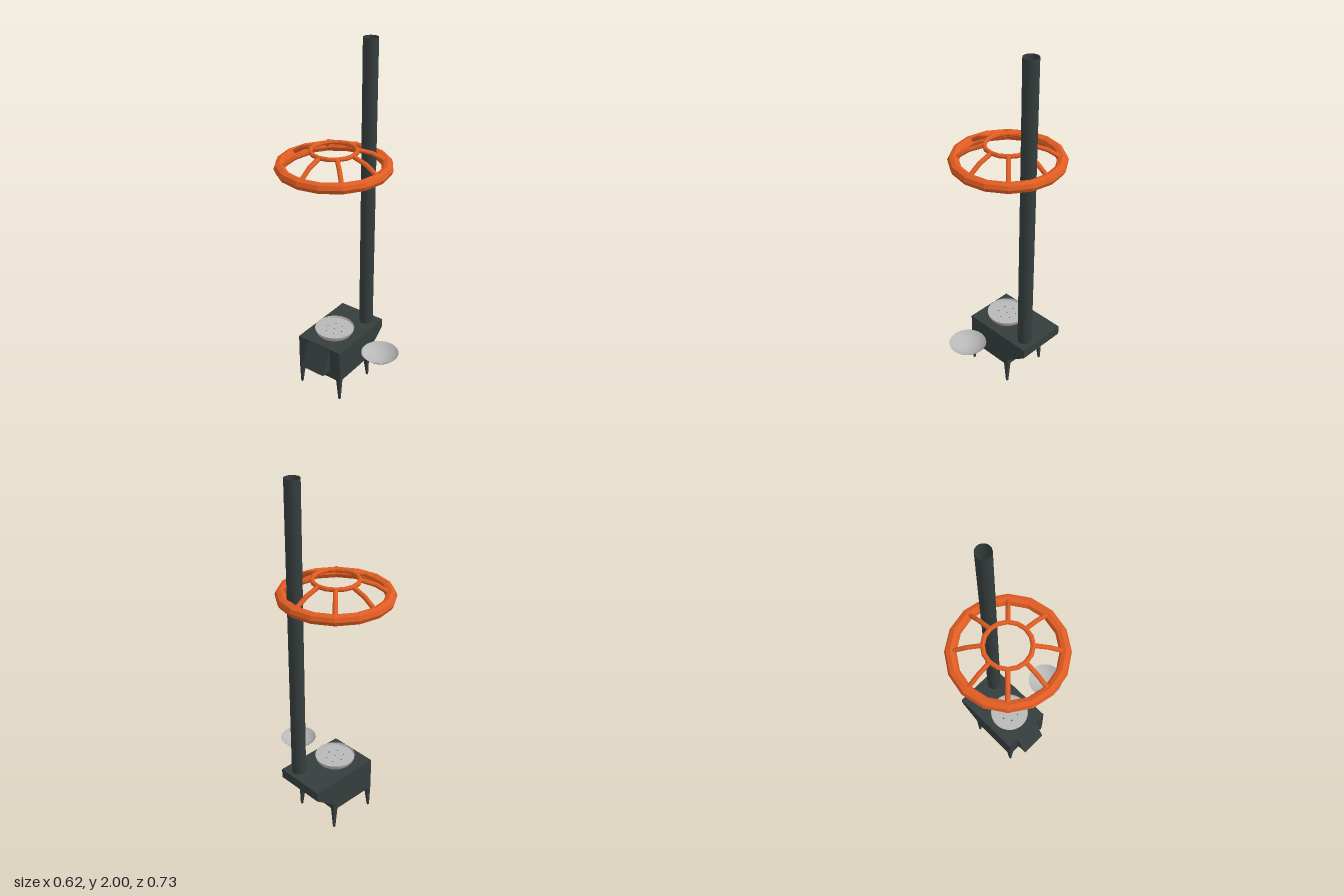
import * as THREE from 'three';

const material = (name, color, side = THREE.FrontSide, flatShading = false) => {
  const m = new THREE.MeshStandardMaterial({ color, side, flatShading });
  m.name = name;
  return m;
};

export function createModel() {
  const model = new THREE.Group();
  model.name = 'campStove';
  const iron = material('dark iron', 0x353d3d, THREE.DoubleSide);
  const orange = material('orange paint', 0xe05c22, THREE.FrontSide, true);
  const steel = material('steel', 0xb8b8b8, THREE.DoubleSide);
  const soot = material('soot', 0x1c2124, THREE.DoubleSide);

  const add = (name, geometry, mat, x = 0, y = 0, z = 0, parent = model) => {
    const mesh = new THREE.Mesh(geometry, mat);
    mesh.name = name;
    mesh.position.set(x, y, z);
    parent.add(mesh);
    return mesh;
  };
  // Side profile in x/y, extruded along z
  const slab = (points, depth) => new THREE.ExtrudeGeometry(
    new THREE.Shape(points.map(p => new THREE.Vector2(...p))), { depth, bevelEnabled: false });

  // Firebox with overhanging flue end, and the sloping feed door
  add('firebox', slab([[-0.148, 0.13], [0.146, 0.13], [0.146, 0.17], [0.274, 0.27],
    [0.274, 0.325], [-0.148, 0.325]], 0.29), iron, 0, 0, -0.2);
  add('feedDoor', slab([[-0.213, 0.18], [-0.147, 0.18], [-0.147, 0.322]], 0.154), iron, 0, 0, -0.133);
  for (const z of [-0.096, -0.017]) {
    const vent = add('doorVent', new THREE.CircleGeometry(0.009, 12), iron, -0.1982, 0.2145, z);
    vent.lookAt(-0.1982 - 0.907, 0.2145 + 0.421, z);
  }

  // Legs taper towards their outer corners
  for (const [x, sx] of [[-0.148, 1], [0.146, -1]]) {
    for (const [z, sz] of [[-0.2, 1], [0.09, -1]]) {
      const g = new THREE.BoxGeometry(0.026, 0.13, 0.026);
      const p = g.attributes.position;
      for (let i = 0; i < p.count; i++) {
        const low = p.getY(i) < 0;
        const place = (v, s) => (v * s > 0 ? (low ? 0.013 : 0.026) : (low ? 0.003 : 0)) * s;
        p.setX(i, place(p.getX(i), sx));
        p.setZ(i, place(p.getZ(i), sz));
      }
      g.computeVertexNormals();
      add('leg', g, iron, x, 0.065, z);
    }
  }

  // Open chimney pipe
  add('chimney', new THREE.CylinderGeometry(0.04, 0.04, 1.675, 24, 1, true), iron, 0.211, 1.1625, 0.018);

  // Perforated pan on the stove
  const pan = new THREE.Group();
  pan.name = 'pan';
  pan.position.set(0, 0, -0.055);
  model.add(pan);
  const wall = [[0.085, 0.324], [0.099, 0.334], [0.108, 0.347], [0.113, 0.365]];
  add('panWall', new THREE.LatheGeometry(wall.map(p => new THREE.Vector2(...p)), 32), steel, 0, 0, 0, pan);
  add('panPlate', new THREE.CircleGeometry(0.109, 32).rotateX(-Math.PI / 2), steel, 0, 0.352, 0, pan);
  for (let i = 0; i < 7; i++) {
    const r = i ? 0.05 : 0, a = i * Math.PI / 3;
    add('panHole', new THREE.CircleGeometry(0.0035, 8).rotateX(-Math.PI / 2), soot,
      r * Math.sin(a), 0.3535, r * Math.cos(a), pan);
  }

  // Shallow serving bowl, a spherical cap
  const cap = [];
  for (let i = 0; i <= 10; i++) {
    const a = 0.897 * i / 10;
    cap.push(new THREE.Vector2(0.133 * Math.sin(a), 0.133 * (1 - Math.cos(a))));
  }
  add('bowl', new THREE.LatheGeometry(cap, 32), steel, 0, 0.275, 0.259);

  // Overhead ring frame with bent spokes
  const frame = new THREE.Group();
  frame.name = 'ringFrame';
  frame.position.set(0, 0, -0.055);
  model.add(frame);
  const ring = (name, r, tube, y) =>
    add(name, new THREE.TorusGeometry(r, tube, 8, 16).rotateX(Math.PI / 2), orange, 0, y, 0, frame);
  ring('outerRing', 0.28, 0.03, 1.371);
  ring('innerRing', 0.121, 0.0125, 1.454);
  const bends = [[0.12, 1.453], [0.2, 1.427], [0.267, 1.384]];
  for (let i = 0; i < 8; i++) {
    const spoke = new THREE.Group();
    spoke.name = 'spoke';
    spoke.rotation.y = i * Math.PI / 4;
    frame.add(spoke);
    for (let j = 0; j < 2; j++) {
      const [x0, y0] = bends[j], [x1, y1] = bends[j + 1];
      const length = Math.hypot(x1 - x0, y1 - y0) + 0.006;
      const bar = add('spokeBar', new THREE.CylinderGeometry(0.0125, 0.0125, length, 8),
        orange, (x0 + x1) / 2, (y0 + y1) / 2, 0, spoke);
      bar.rotation.z = Math.atan2(y1 - y0, x1 - x0) - Math.PI / 2;
    }
  }
  return model;
}
